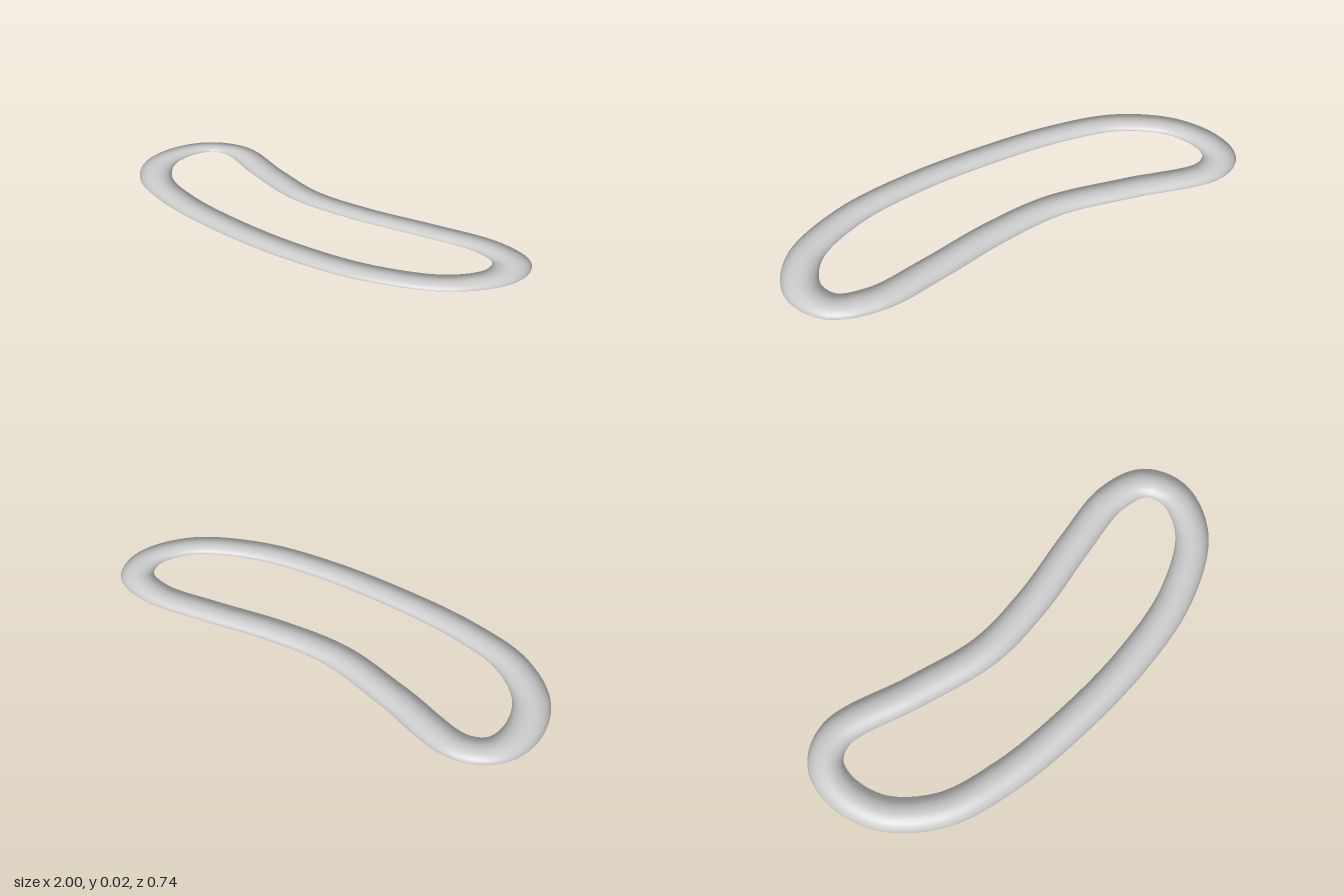
import * as THREE from 'three';

const RADIUS = 0.07;
const HALF_THICKNESS = 0.0015;

// Height of the band: flat on the +x side, curling gently upward towards -x
function lift(x) {
  const t = Math.max(0, (0.35 - x) / 1.35);
  return HALF_THICKNESS + 0.022 * t * t;
}

export function createModel() {
  const group = new THREE.Group();
  group.name = 'beanLoop';

  // Centre line of the bean-shaped loop, as [x, z]
  const path = [
    [-0.12, 0.295], [0.27, 0.274], [0.6, 0.2], [0.85, 0.05], [0.93, -0.13],
    [0.877, -0.258], [0.72, -0.302], [0.47, -0.258], [0.16, -0.187],
    [-0.13, -0.16], [-0.45, -0.222], [-0.79, -0.302], [-0.9, -0.243],
    [-0.93, -0.12], [-0.87, 0.06], [-0.69, 0.21], [-0.43, 0.276],
  ].map(([x, z]) => new THREE.Vector3(x, 0, z));
  const curve = new THREE.CatmullRomCurve3(path, true, 'centripetal');

  // Round tube pressed into a thin band, keeping its rounded normals
  const geometry = new THREE.TubeGeometry(curve, 200, RADIUS, 24, true);
  const pos = geometry.attributes.position;
  for (let i = 0; i < pos.count; i++) {
    const flat = pos.getY(i) * HALF_THICKNESS / RADIUS;
    pos.setY(i, flat + lift(pos.getX(i)));
  }

  const band = new THREE.Mesh(
    geometry,
    new THREE.MeshStandardMaterial({ color: 0xcccccc })
  );
  band.name = 'band';
  group.add(band);
  return group;
}
